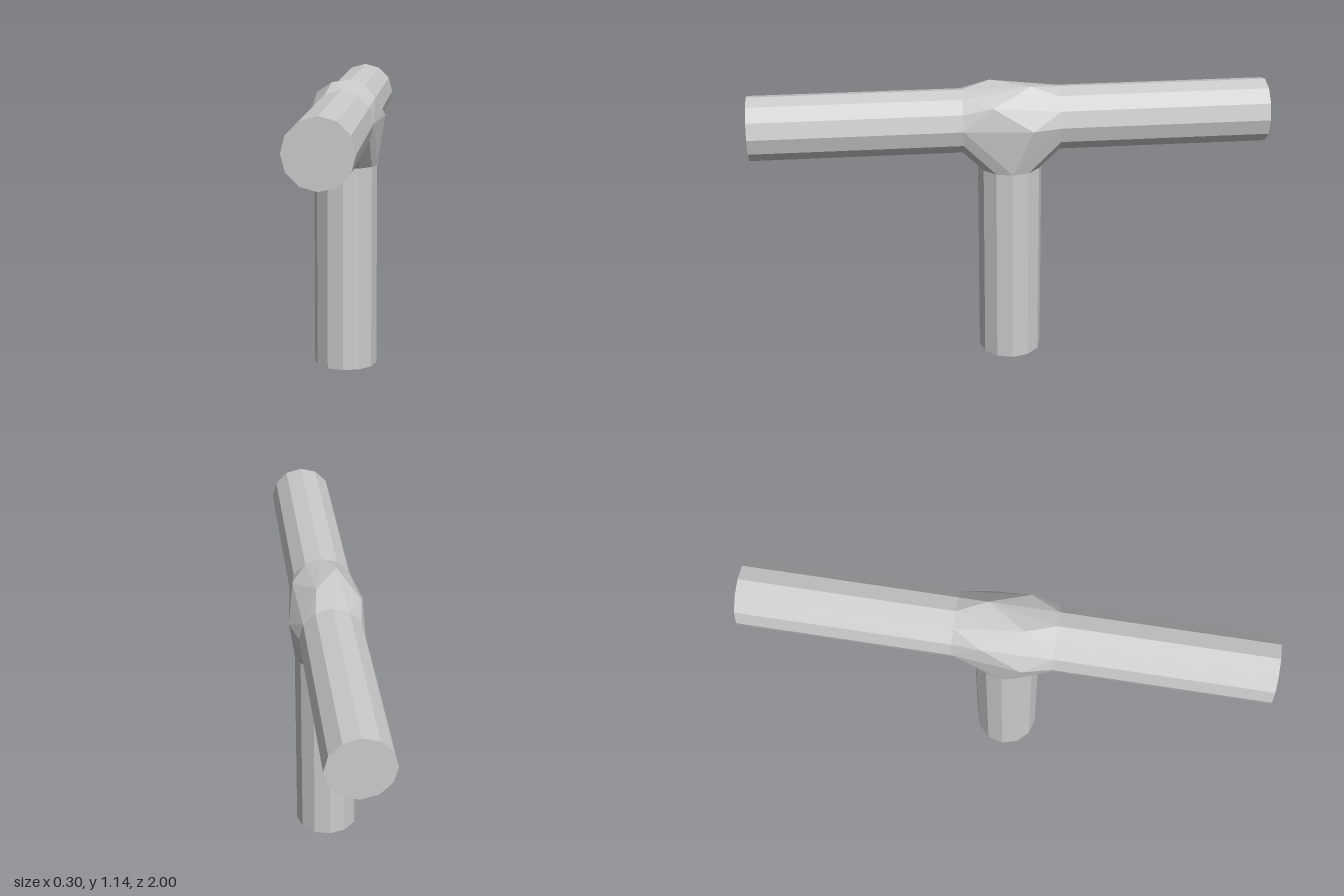
import * as THREE from 'three';
import { ConvexGeometry } from 'three/addons/geometries/ConvexGeometry.js';

const RADIUS = 0.125, SIDES = 12, HUB = 0.1875, AXIS_Y = 1;
const material = new THREE.MeshStandardMaterial({ color: 0xcccccc, flatShading: true });

function part(name, geometry) {
  const mesh = new THREE.Mesh(geometry, material);
  mesh.name = name;
  mesh.position.y = AXIS_Y;
  return mesh;
}

// Twelve-sided pipe running from the joint outwards; tilt turns it about x
function pipe(name, tilt) {
  const length = 1 - HUB;
  const geometry = new THREE.CylinderGeometry(RADIUS, RADIUS, length, SIDES);
  geometry.translate(0, HUB + length / 2, 0).rotateX(tilt);
  return part(name, geometry);
}

// Joint: hull around the three pipe mouths and a faceted ball
function joint(tilts) {
  const points = [];
  for (const tilt of tilts) {
    for (let i = 0; i < SIDES; i++) {
      const a = (i / SIDES) * Math.PI * 2;
      points.push(new THREE.Vector3(RADIUS * Math.sin(a), HUB, RADIUS * Math.cos(a))
        .applyAxisAngle(new THREE.Vector3(1, 0, 0), tilt));
    }
  }
  // Staggered ten-point belt of an icosahedron whose poles lie along z
  const ball = 0.17;
  for (let i = 0; i < 10; i++) {
    const a = (i / 10) * Math.PI * 2;
    const r = ball * 2 / Math.sqrt(5);
    points.push(new THREE.Vector3(r * Math.cos(a), r * Math.sin(a), (i % 2 ? 1 : -1) * r / 2));
  }
  return part('joint', new ConvexGeometry(points));
}

export function createModel() {
  const model = new THREE.Group();
  model.name = 'teePipe';
  const tilts = { frontPipe: Math.PI / 2, backPipe: -Math.PI / 2, lowerPipe: Math.PI };
  for (const [name, tilt] of Object.entries(tilts)) model.add(pipe(name, tilt));
  model.add(joint(Object.values(tilts)));
  return model;
}
